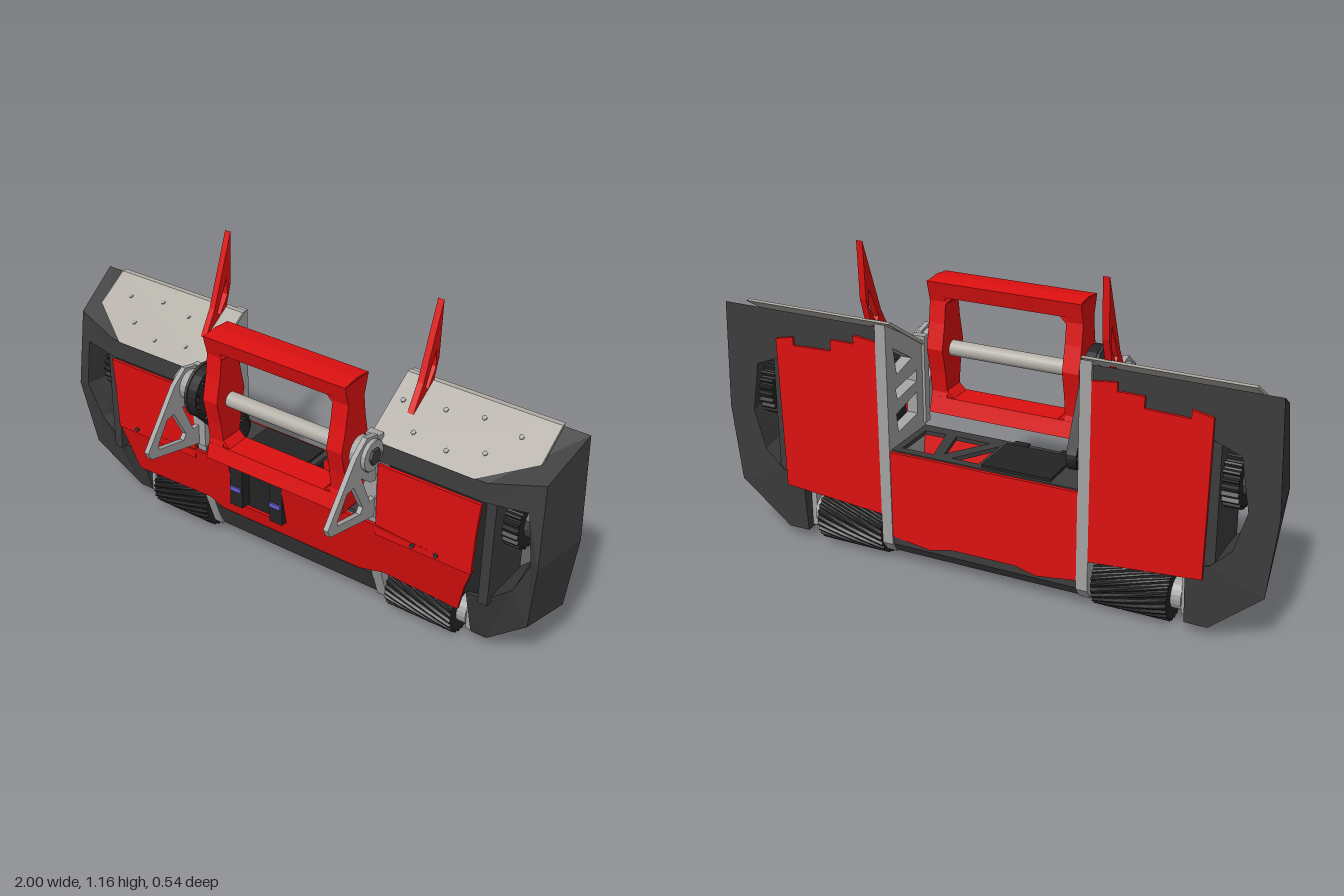
import * as THREE from 'three';

const mat = (color) => new THREE.MeshStandardMaterial({ color, flatShading: true, side: THREE.DoubleSide });
const RED = mat(0xdd1010), DARK = mat(0x3c3c3c), BLACK = mat(0x242424);
const GREY = mat(0xa3a3a3), PLATE = mat(0xb2aea6), BLUE = mat(0x6a5cd0);

function add(parent, name, geo, material, x = 0, y = 0, z = 0) {
  const m = new THREE.Mesh(geo, material);
  m.name = name;
  m.position.set(x, y, z);
  parent.add(m);
  return m;
}

function box(parent, name, material, x0, x1, y0, y1, z0, z1) {
  return add(parent, name, new THREE.BoxGeometry(x1 - x0, y1 - y0, z1 - z0), material,
    (x0 + x1) / 2, (y0 + y1) / 2, (z0 + z1) / 2);
}

function shapeOf(pts, holes = []) {
  const s = new THREE.Shape(pts.map(p => new THREE.Vector2(...p)));
  holes.forEach(h => s.holes.push(new THREE.Path(h.map(p => new THREE.Vector2(...p)))));
  return s;
}

// Side profile given as [z, y], extruded from x0 to x1
function profileX(pts, holes, x0, x1) {
  const f = list => list.map(([z, y]) => [-z, y]);
  return new THREE.ExtrudeGeometry(shapeOf(f(pts), holes.map(f)), { depth: x1 - x0, bevelEnabled: false })
    .rotateY(Math.PI / 2).translate(x0, 0, 0);
}

// Sheet given as [x, y]; its back is at z0 at height y0 and leans by slope
function sheet(pts, z0, y0 = 0, slope = 0, depth = 0.012, holes = []) {
  const g = new THREE.ExtrudeGeometry(shapeOf(pts, holes), { depth, bevelEnabled: false });
  const p = g.attributes.position;
  for (let i = 0; i < p.count; i++) p.setZ(i, p.getZ(i) + z0 + (p.getY(i) - y0) * slope);
  g.computeVertexNormals();
  return g;
}

// Cylinder along x whose rim alternates between two radii, optionally twisted
function toothed(r, depth, len, teeth, twist = 0) {
  const n = teeth * 4;
  const g = new THREE.CylinderGeometry(r, r, len, n, 6);
  const p = g.attributes.position;
  for (let i = 0; i < p.count; i++) {
    const x = p.getX(i), y = p.getY(i), z = p.getZ(i);
    if (Math.hypot(x, z) < 1e-6) continue;
    const a = Math.atan2(x, z);
    const k = Math.round((a / (2 * Math.PI)) * n) + n;
    const rr = k % 4 < 2 ? r : r - depth;
    p.setXYZ(i, Math.sin(a + y * twist) * rr, y, Math.cos(a + y * twist) * rr);
  }
  g.computeVertexNormals();
  return g.rotateZ(Math.PI / 2);
}

const rod = (r, len, n = 24) => new THREE.CylinderGeometry(r, r, len, n).rotateZ(Math.PI / 2);

// C-shaped outer guard: stations of outer back, outer front, inner front, inner back
function guardGeometry() {
  const B = -0.255;
  const st = [
    [[0.385, 0.87, B], [0.385, 0.735, -0.02], [0.385, 0.665, -0.015], [0.385, 0.76, B]],
    [[0.77, 0.87, B], [0.77, 0.735, -0.02], [0.77, 0.665, -0.015], [0.77, 0.70, B]],
    [[0.985, 0.87, B], [0.95, 0.775, -0.06], [0.91, 0.67, -0.04], [0.87, 0.66, B]],
    [[1.0, 0.48, B], [0.965, 0.48, -0.03], [0.935, 0.48, -0.04], [0.90, 0.48, B]],
    [[0.97, 0.2, B], [0.935, 0.21, -0.07], [0.88, 0.35, -0.05], [0.86, 0.34, B]],
    [[0.79, 0.04, -0.24], [0.77, 0.045, -0.12], [0.79, 0.27, -0.05], [0.79, 0.27, B]],
    [[0.71, 0.04, -0.24], [0.71, 0.045, -0.12], [0.71, 0.25, -0.06], [0.71, 0.25, B]],
  ];
  const pos = st.flat(2), idx = [];
  for (let i = 0; i < st.length - 1; i++) for (let j = 0; j < 4; j++) {
    const a = i * 4 + j, b = i * 4 + (j + 1) % 4, c = a + 4, d = b + 4;
    idx.push(a, b, c, b, d, c);
  }
  const e = (st.length - 1) * 4;
  idx.push(0, 2, 1, 0, 3, 2, e, e + 1, e + 2, e, e + 2, e + 3);
  const g = new THREE.BufferGeometry();
  g.setAttribute('position', new THREE.Float32BufferAttribute(pos, 3));
  g.setIndex(idx);
  const out = g.toNonIndexed();
  out.computeVertexNormals();
  return out;
}

// Everything on the +x half
function buildSide() {
  const s = new THREE.Group();
  add(s, 'outerGuard', guardGeometry(), DARK);
  box(s, 'innerWall', DARK, 0.77, 0.805, 0.26, 0.69, -0.25, -0.03);
  box(s, 'podCore', BLACK, 0.39, 0.77, 0.24, 0.70, -0.245, -0.07);
  add(s, 'topPlate', sheet([[0.34, 0.74], [0.73, 0.74], [0.9, 0.805], [0.9, 0.885], [0.34, 0.885]],
    -0.028, 0.74, -1.55, 0.02), PLATE);
  // small bolts on the sloping plate
  [[0.47, 0.78], [0.53, 0.84], [0.6, 0.77], [0.66, 0.85], [0.72, 0.79], [0.8, 0.84], [0.38, 0.83]].forEach(([x, y]) => {
    const b = add(s, 'plateBolt', new THREE.CylinderGeometry(0.009, 0.009, 0.008, 6), GREY, x, y, -0.008 - (y - 0.74) * 1.55);
    b.rotation.x = 0.57;
  });
  // red armour sheets
  add(s, 'frontPanel', sheet([[0.385, 0.38], [0.75, 0.38], [0.755, 0.54], [0.765, 0.66], [0.385, 0.66]], -0.015), RED);
  add(s, 'backPanel', sheet([[0.385, 0.19], [0.77, 0.22], [0.78, 0.77], [0.71, 0.785], [0.71, 0.755], [0.56, 0.76],
    [0.56, 0.80], [0.47, 0.80], [0.47, 0.83], [0.385, 0.82]], -0.265), RED);
  // full-height rail with lightening slots
  add(s, 'rail', profileX([[-0.265, 0.885], [-0.02, 0.745], [-0.015, 0.45], [-0.055, 0.18], [-0.1, 0.05], [-0.235, 0.04], [-0.265, 0.08]],
    [[[-0.22, 0.79], [-0.1, 0.715], [-0.2, 0.69]], [[-0.21, 0.64], [-0.07, 0.66], [-0.07, 0.62], [-0.2, 0.6]],
      [[-0.21, 0.55], [-0.07, 0.58], [-0.07, 0.5], [-0.2, 0.48]]], 0.345, 0.385), GREY);
  // forward triangular arm holding the shaft
  add(s, 'frontArm', profileX([[0.06, 0.79], [0.0, 0.775], [-0.03, 0.74], [-0.02, 0.465], [0.0, 0.455], [0.255, 0.52], [0.27, 0.55], [0.12, 0.745]],
    [[[0.215, 0.56], [0.165, 0.635], [0.13, 0.64], [0.07, 0.53], [0.085, 0.51], [0.215, 0.54]],
      [[0.085, 0.65], [0.03, 0.605], [0.0, 0.6], [0.0, 0.53], [0.03, 0.53]]], 0.362, 0.38), GREY);
  box(s, 'armBracket', GREY, 0.335, 0.385, 0.45, 0.77, -0.03, 0.0);
  add(s, 'shaftBearing', rod(0.055, 0.06, 16), GREY, 0.365, 0.72, 0.04);
  add(s, 'bearingCap', rod(0.03, 0.02, 6), DARK, 0.395, 0.72, 0.04);
  for (let i = 0; i < 4; i++) {
    const a = i * Math.PI / 2 + 0.6;
    add(s, 'bearingBolt', rod(0.008, 0.012, 6), DARK, 0.385, 0.715 + 0.05 * Math.sin(a), 0.035 + 0.045 * Math.cos(a));
  }
  // upright fin on the plate
  add(s, 'fin', profileX([[-0.267, 1.16], [-0.17, 0.9], [-0.105, 0.79], [-0.2, 0.85], [-0.235, 0.88], [-0.26, 0.96]],
    [[[-0.24, 0.995], [-0.243, 0.93], [-0.2, 0.865], [-0.185, 0.88]]], 0.415, 0.438), RED);
  // drive wheel and its hub
  add(s, 'wheel', toothed(0.1, 0.008, 0.26, 26, 3), BLACK, 0.525, 0.1, -0.165);
  add(s, 'wheelHub', rod(0.055, 0.31, 20), GREY, 0.535, 0.1, -0.165);
  add(s, 'wheelAxle', rod(0.022, 0.36, 12), DARK, 0.55, 0.1, -0.165);
  box(s, 'axleHanger', GREY, 0.69, 0.71, 0.05, 0.26, -0.21, -0.12);
  // side drive gear in the guard opening
  add(s, 'driveGear', toothed(0.104, 0.012, 0.055, 24), BLACK, 0.84, 0.555, -0.165);
  add(s, 'gearHub', rod(0.06, 0.1, 12), DARK, 0.84, 0.555, -0.165);
  return s;
}

export function createModel() {
  const model = new THREE.Group();
  model.name = 'robot';
  const left = buildSide();
  left.name = 'leftSide';
  const right = left.clone();
  right.name = 'rightSide';
  right.scale.x = -1;
  model.add(left, right);

  // leaning front armour with a slot for the motors
  add(model, 'lowerFrontPanel', sheet([[-0.7, 0.19], [-0.36, 0.2], [-0.3, 0.17], [0.3, 0.17], [0.4, 0.2], [0.69, 0.18],
    [0.72, 0.3], [0.755, 0.4], [0.5, 0.41], [0.38, 0.42], [-0.005, 0.42], [-0.005, 0.23], [-0.235, 0.23], [-0.235, 0.42],
    [-0.38, 0.42], [-0.5, 0.41], [-0.755, 0.4]], -0.012, 0.42, 0.2), RED);
  for (const x of [-0.66, -0.57, 0.53, 0.62]) add(model, 'panelBolt', new THREE.CylinderGeometry(0.008, 0.008, 0.01, 6).rotateX(Math.PI / 2), DARK, x, 0.4, 0);
  add(model, 'centreBackPanel', sheet([[-0.345, 0.11], [-0.2, 0.09], [-0.12, 0.11], [0.12, 0.11], [0.2, 0.09], [0.345, 0.11],
    [0.345, 0.43], [-0.345, 0.43]], -0.262), RED);

  // dark bumper tray across the bottom
  add(model, 'bottomTray', profileX([[-0.06, 0.175], [-0.07, 0.14], [-0.11, 0.05], [-0.235, 0.045], [-0.258, 0.08], [-0.258, 0.12],
    [-0.235, 0.12], [-0.225, 0.07], [-0.12, 0.075], [-0.085, 0.175]], [], -0.345, 0.345), DARK);
  box(model, 'trayRib', BLACK, -0.34, 0.34, 0.15, 0.18, -0.24, -0.065);

  // deck with triangular cutouts
  const deck = shapeOf([[-0.345, 0.015], [0.345, 0.015], [0.345, 0.25], [-0.345, 0.25]],
    [[[0.03, 0.07], [0.03, 0.22], [0.13, 0.22]], [[0.07, 0.06], [0.2, 0.06], [0.17, 0.2]], [[0.24, 0.06], [0.32, 0.06], [0.32, 0.22], [0.2, 0.22]]]);
  add(model, 'deck', new THREE.ExtrudeGeometry(deck, { depth: 0.015, bevelEnabled: false }).rotateX(-Math.PI / 2), DARK, 0, 0.42, 0);
  box(model, 'deckFloor', GREY, 0.01, 0.34, 0.3, 0.31, -0.25, -0.06);
  box(model, 'controlBox', BLACK, -0.24, 0.01, 0.2, 0.445, -0.24, -0.05);

  // twin motor housings in the front slot
  for (const x of [-0.235, -0.06]) {
    box(model, 'motorHousing', BLACK, x, x + 0.055, 0.24, 0.44, -0.06, -0.01);
    box(model, 'motorFoot', BLACK, x + 0.01, x + 0.045, 0.265, 0.31, -0.06, -0.022);
    box(model, 'motorClip', BLUE, x + 0.004, x + 0.05, 0.305, 0.322, -0.02, -0.004);
  }

  // waisted weapon frame
  const weapon = new THREE.Group();
  weapon.name = 'weaponFrame';
  weapon.position.set(0.0375, 0.733, 0.037);
  model.add(weapon);
  const half = [[0.065, 0.238], [0.045, 0.165], [0.055, 0.09], [0.075, 0.0]];
  const front = [...half, ...half.slice(0, 3).reverse().map(([z, y]) => [z, -y])];
  const outline = [...front, ...front.slice().reverse().map(([z, y]) => [-z, y])];
  for (const s of [-1, 1]) {
    add(weapon, 'weaponSide', profileX(outline, [], s * 0.2525 - 0.03, s * 0.2525 + 0.03), RED);
    add(weapon, 'weaponBar', profileX([[0.065, s * 0.238], [0, s * 0.245], [-0.065, s * 0.238], [-0.05, s * 0.182], [0.05, s * 0.182]],
      [], -0.28, 0.28), RED);
    // small corner gussets inside the opening
    for (const t of [-1, 1]) add(weapon, 'weaponGusset', sheet([[s * 0.224, t * 0.184], [s * 0.195, t * 0.184], [s * 0.224, t * 0.155]],
      -0.045, 0, 0, 0.09), RED);
  }
  add(model, 'weaponShaft', rod(0.028, 0.74), PLATE, 0, 0.72, 0.037);

  // belt drive: two pulleys and a belt loop
  add(model, 'weaponPulley', toothed(0.09, 0.008, 0.045, 20), BLACK, -0.278, 0.72, 0.037);
  add(model, 'motorPulley', toothed(0.045, 0.006, 0.045, 12), BLACK, -0.278, 0.49, -0.115);
  const from = new THREE.Vector2(0.037, 0.72), to = new THREE.Vector2(-0.115, 0.49);
  const dir = Math.atan2(from.y - to.y, from.x - to.x);
  const loop = (grow) => {
    const pts = [];
    for (let i = 0; i <= 12; i++) {
      const a = dir - Math.PI / 2 + i * Math.PI / 12;
      pts.push([from.x + (0.09 + grow) * Math.cos(a), from.y + (0.09 + grow) * Math.sin(a)]);
    }
    for (let i = 0; i <= 12; i++) {
      const a = dir + Math.PI / 2 + i * Math.PI / 12;
      pts.push([to.x + (0.045 + grow) * Math.cos(a), to.y + (0.045 + grow) * Math.sin(a)]);
    }
    return pts;
  };
  add(model, 'driveBelt', profileX(loop(0.008), [loop(-0.002)], -0.296, -0.26), BLACK);
  add(model, 'pulleyFlange', rod(0.1, 0.01, 24), DARK, -0.303, 0.72, 0.037);
  return model;
}
